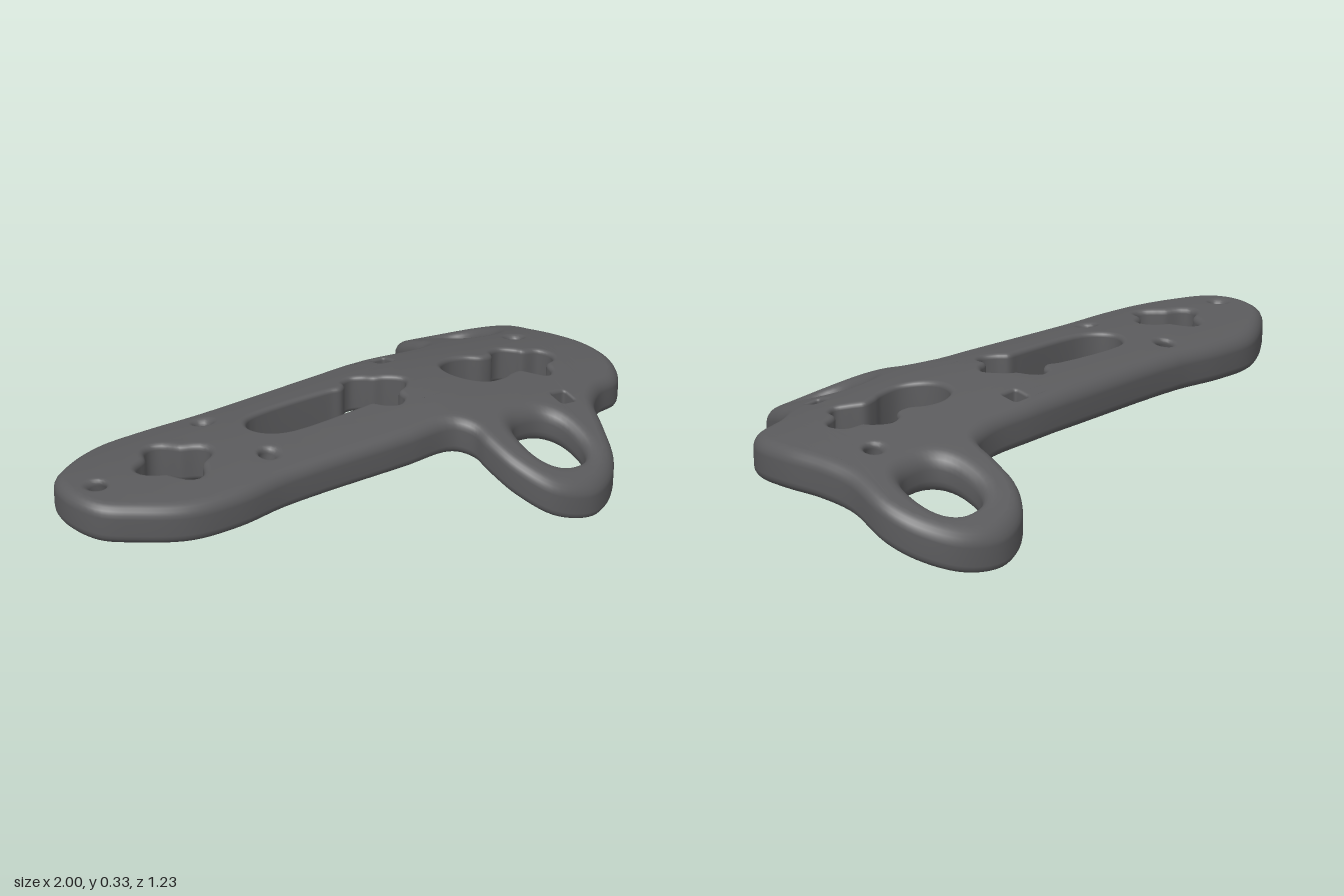
import * as THREE from 'three';
import { mergeVertices } from 'three/addons/utils/BufferGeometryUtils.js';

const THICK = 0.122;
const V = (x, z) => new THREE.Vector2(x, z);

// Closed smooth loop through a few [x, z] points
function spline(pts, samples) {
  const curve = new THREE.CatmullRomCurve3(pts.map(([x, z]) => new THREE.Vector3(x, 0, z)), true, 'centripetal');
  return curve.getPoints(samples).slice(0, -1).map(p => V(p.x, p.z));
}

// Superellipse loop; power 2 is an ellipse, higher is squarer
function oval(cx, cz, rx, rz, power = 2, samples = 28) {
  const f = v => Math.sign(v) * Math.pow(Math.abs(v), 2 / power);
  return Array.from({ length: samples }, (_, i) => {
    const a = i / samples * Math.PI * 2;
    return V(cx + rx * f(Math.cos(a)), cz + rz * f(Math.sin(a)));
  });
}

// Four-lobed loop
function clover(cx, cz, r, lobe) {
  return Array.from({ length: 48 }, (_, i) => {
    const a = i / 48 * Math.PI * 2, d = r + lobe * Math.cos(4 * a);
    return V(cx + d * Math.cos(a), cz + d * Math.sin(a));
  });
}

// Move a loop sideways into the material, which lies on its left
function inset(loop, d) {
  const n = loop.length;
  return loop.map((p, i) => {
    const t = loop[(i + 1) % n].clone().sub(loop[(i + n - 1) % n]).normalize();
    return V(p.x - t.y * d, p.y + t.x * d);
  });
}

// Rings of a rounded wall, from the top edge to the bottom edge
function wallRings({ loop, bevel, skew = [0, 0] }, isHole) {
  const path = THREE.ShapeUtils.isClockWise(loop) === isHole ? loop : loop.slice().reverse();
  const steps = 5, levels = [];
  for (let i = 0; i <= steps; i++) {
    const a = i / steps * Math.PI / 2;
    levels.push([bevel * (1 - Math.sin(a)), THICK / 2 - bevel * (1 - Math.cos(a))]);
  }
  for (let i = steps; i >= 0; i--) levels.push([levels[i][0], -levels[i][1]]);
  return levels.map(([d, y]) => {
    const k = 0.5 - y / THICK;
    return inset(path, d).map(p => new THREE.Vector3(p.x + skew[0] * k, y, p.y + skew[1] * k));
  });
}

function buildPlate(outer, holes) {
  const walls = [wallRings(outer, false), ...holes.map(h => wallRings(h, true))];
  const tris = [];
  // Rounded walls
  for (const rings of walls) {
    for (let r = 0; r < rings.length - 1; r++) {
      const up = rings[r], low = rings[r + 1], n = up.length;
      for (let i = 0; i < n; i++) {
        const j = (i + 1) % n;
        tris.push([up[i], up[j], low[i]], [up[j], low[j], low[i]]);
      }
    }
  }
  // Top and bottom faces
  for (const top of [true, false]) {
    const loops = walls.map(w => w[top ? 0 : w.length - 1]);
    const flat = loops.map(l => l.map(p => V(p.x, p.z)));
    const all = loops.flat();
    for (const [a, b, c] of THREE.ShapeUtils.triangulateShape(flat[0], flat.slice(1))) {
      tris.push(top ? [all[a], all[c], all[b]] : [all[a], all[b], all[c]]);
    }
  }
  // Split long edges so that the plate can bend
  const pos = [];
  while (tris.length) {
    const t = tris.pop();
    const len = [0, 1, 2].map(i => t[i].distanceTo(t[(i + 1) % 3]));
    const m = len.indexOf(Math.max(...len));
    if (len[m] > 0.08) {
      const a = t[m], b = t[(m + 1) % 3], c = t[(m + 2) % 3];
      const mid = a.clone().add(b).multiplyScalar(0.5);
      tris.push([a, mid, c], [mid, b, c]);
    } else {
      for (const p of t) pos.push(p.x, p.y + bend(p.x, p.z), p.z);
    }
  }
  let geo = new THREE.BufferGeometry();
  geo.setAttribute('position', new THREE.Float32BufferAttribute(pos, 3));
  geo = mergeVertices(geo, 1e-5);
  geo.computeVertexNormals();
  geo.computeBoundingBox();
  geo.translate(0, -geo.boundingBox.min.y, 0);
  return geo;
}

// Arch across the width and a droop towards the wide end
function bend(x, z) {
  const t = Math.max(0, (x - 0.22) / 0.78);
  return -0.45 * z * z - 0.08 * Math.pow(t, 1.2);
}

export function createModel() {
  const darkGrey = new THREE.MeshStandardMaterial({ color: 0x5b5b5d });
  darkGrey.name = 'darkGrey';

  // Outline with two eyelet lobes
  const outline = spline([
    [-1, -0.01], [-0.97, -0.13], [-0.88, -0.21], [-0.74, -0.28], [-0.58, -0.29], [-0.37, -0.277],
    [0.25, -0.295], [0.47, -0.29], [0.55, -0.32], [0.567, -0.4], [0.59, -0.51], [0.66, -0.59],
    [0.765, -0.62], [0.88, -0.58], [0.96, -0.49], [0.99, -0.39], [0.97, -0.24], [0.98, -0.13],
    [0.998, 0], [0.98, 0.13], [0.915, 0.22], [0.81, 0.25], [0.73, 0.31], [0.685, 0.4],
    [0.62, 0.52], [0.54, 0.585], [0.445, 0.61], [0.325, 0.57], [0.257, 0.465], [0.24, 0.36],
    [0.24, 0.295], [0.2, 0.25], [0.03, 0.245], [-0.395, 0.235], [-0.58, 0.25], [-0.745, 0.235],
    [-0.88, 0.17], [-0.97, 0.1],
  ], 200);

  // Long slot that ends in a clover
  const slot = spline([
    [-0.348, -0.035], [-0.335, -0.075], [-0.29, -0.11], [0, -0.11], [0.04, -0.1], [0.065, -0.115],
    [0.08, -0.14], [0.115, -0.15], [0.145, -0.13], [0.165, -0.1], [0.2, -0.08], [0.235, -0.03],
    [0.205, 0.01], [0.165, 0.03], [0.155, 0.07], [0.115, 0.095], [0.075, 0.075], [0.05, 0.045],
    [0, 0.045], [-0.27, 0.045], [-0.33, 0.01],
  ], 100);

  // Round hole joined to a clover
  const keyhole = spline([
    [0.39, 0], [0.41, -0.065], [0.47, -0.095], [0.53, -0.085], [0.575, -0.055], [0.615, -0.055],
    [0.64, -0.085], [0.68, -0.095], [0.72, -0.065], [0.735, -0.04], [0.785, -0.025], [0.8, 0.02],
    [0.78, 0.055], [0.735, 0.075], [0.715, 0.12], [0.68, 0.14], [0.645, 0.11], [0.615, 0.08],
    [0.57, 0.085], [0.53, 0.1], [0.46, 0.1], [0.41, 0.06],
  ], 100);

  // Slanted pin holes: x, z and shift of the lower end
  const pins = [[-0.905, -0.005, 0.05, 0], [-0.42, -0.18, -0.03, 0.03], [-0.39, 0.12, -0.03, -0.03], [0.82, -0.18, 0, 0.05]];

  const holes = [
    { loop: clover(-0.64, -0.005, 0.104, 0.019), bevel: 0.02 },
    { loop: slot, bevel: 0.016 },
    { loop: keyhole, bevel: 0.016 },
    { loop: oval(0.78, -0.402, 0.097, 0.11, 2.5, 40), bevel: 0.045 },
    { loop: oval(0.458, 0.4, 0.1, 0.11, 2.5, 40), bevel: 0.045 },
    { loop: oval(0.295, -0.217, 0.028, 0.028, 6), bevel: 0.01 },
    { loop: oval(0.635, 0.265, 0.028, 0.028, 6), bevel: 0.01 },
    ...pins.map(([x, z, sx, sz]) => ({ loop: oval(x, z, 0.026, 0.026, 2, 16), bevel: 0.02, skew: [sx, sz] })),
  ];

  const plate = new THREE.Mesh(buildPlate({ loop: outline, bevel: 0.035 }, holes), darkGrey);
  plate.name = 'curvedPlate';
  const group = new THREE.Group();
  group.name = 'perforatedPlate';
  group.add(plate);
  return group;
}
